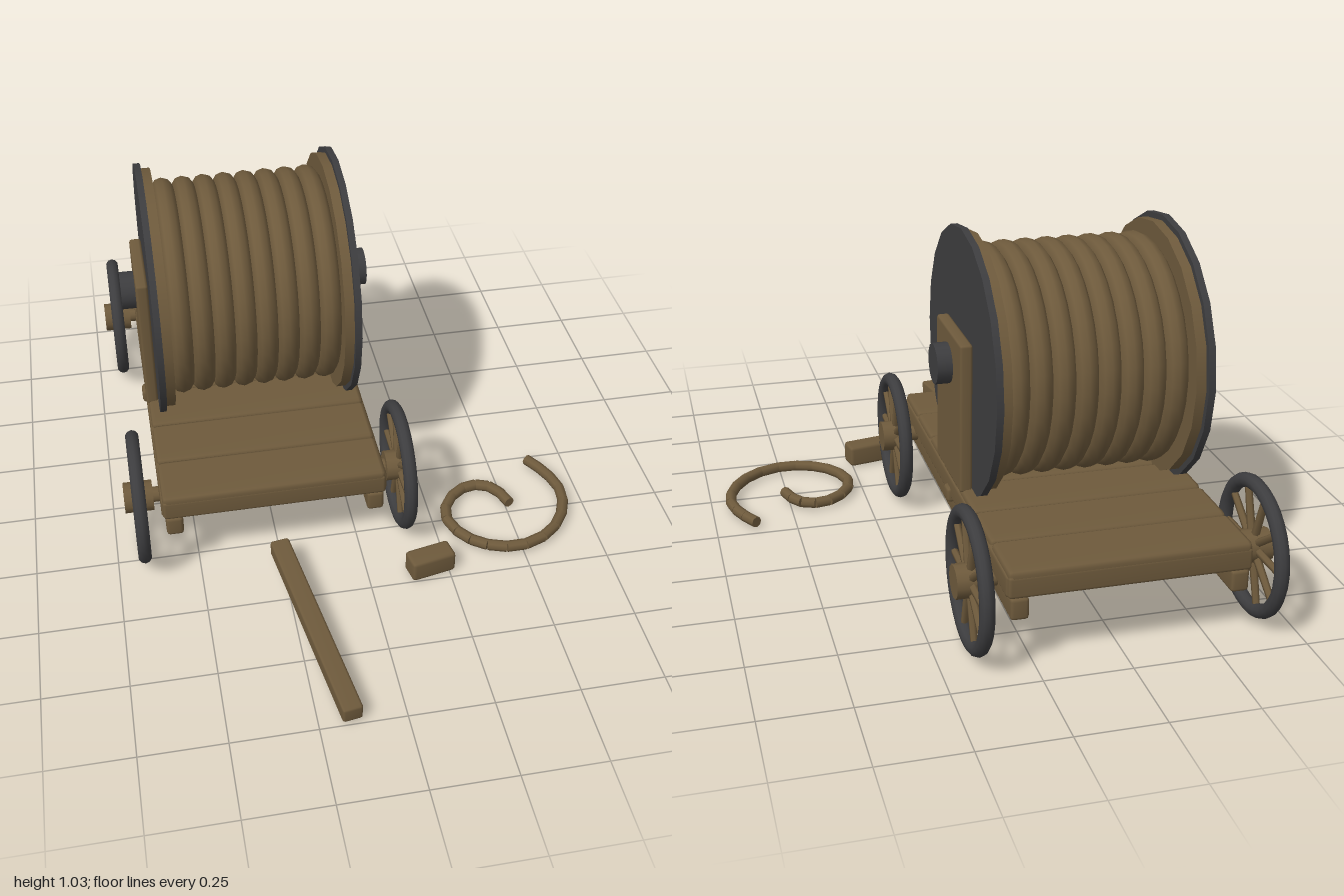
import * as THREE from 'three';
import { RoundedBoxGeometry } from 'three/addons/geometries/RoundedBoxGeometry.js';
import { mergeVertices } from 'three/addons/utils/BufferGeometryUtils.js';

const CX = -0.26; // centre line of the cart
const DRUM_Y = 0.642, DRUM_Z = -0.304;

export function createModel() {
  const root = new THREE.Group();
  root.name = 'ropeCart';
  const wood = new THREE.MeshStandardMaterial({ name: 'brown wood', color: 0x6e5a3c });
  const iron = new THREE.MeshStandardMaterial({ name: 'dark iron', color: 0x3d3d3f });

  function add(parent, name, geometry, material, x = 0, y = 0, z = 0) {
    const mesh = new THREE.Mesh(geometry, material);
    mesh.name = name;
    mesh.position.set(x, y, z);
    parent.add(mesh);
    return mesh;
  }
  // chamfered timber with smooth normals
  function beam(parent, name, w, h, d, x, y, z, r = 0.01) {
    const box = new RoundedBoxGeometry(w, h, d, 1, r);
    box.deleteAttribute('normal');
    box.deleteAttribute('uv');
    const smooth = mergeVertices(box);
    smooth.computeVertexNormals();
    return add(parent, name, smooth, wood, x, y, z);
  }
  // cylinder lying along x
  const rod = (parent, name, r, length, sides, material, x, y, z) =>
    add(parent, name, new THREE.CylinderGeometry(r, r, length, sides).rotateZ(Math.PI / 2), material, x, y, z);

  // deck: seven cross planks on a closed frame
  const deck = new THREE.Group();
  deck.name = 'deck';
  root.add(deck);
  for (let i = 0; i < 7; i++) {
    beam(deck, 'plank', 0.68, 0.05, 0.177, CX, 0.276, -0.85 + i * 0.18, 0.014);
  }
  beam(deck, 'floor', 0.64, 0.04, 1.22, CX, 0.25, -0.31);
  for (const s of [-1, 1]) {
    beam(deck, 'sideBeam', 0.055, 0.066, 1.24, CX + s * 0.317, 0.252, -0.31);
    beam(deck, 'lowerRail', 0.052, 0.065, 1.26, CX + s * 0.308, 0.188, -0.31);
    beam(deck, 'endBeam', 0.68, 0.066, 0.05, CX, 0.252, -0.31 + s * 0.605);
  }
  for (const z of [-0.62, 0]) beam(deck, 'batten', 0.6, 0.03, 0.03, CX, 0.222, z, 0.006);
  beam(deck, 'crossPeg', 0.71, 0.046, 0.05, CX, 0.228, DRUM_Z);

  // axle stubs and spoked wheels
  for (const z of [0.186, -0.794]) {
    for (const s of [-1, 1]) {
      rod(root, 'axleStub', 0.024, 0.1, 12, wood, CX + s * 0.35, 0.211, z);
      const wheel = new THREE.Group();
      wheel.name = 'wheel';
      wheel.position.set(CX + s * 0.407, 0.21, z);
      root.add(wheel);
      add(wheel, 'tyre', new THREE.TorusGeometry(0.184, 0.021, 10, 32).rotateY(Math.PI / 2), iron);
      rod(wheel, 'hub', 0.048, 0.088, 12, wood, 0, 0, 0);
      for (let i = 0; i < 10; i++) {
        const spoke = new THREE.CylinderGeometry(0.01, 0.012, 0.14, 6);
        spoke.translate(0, 0.108, 0).rotateX((i + 0.5) * Math.PI / 5);
        add(wheel, 'spoke', spoke, wood);
      }
    }
  }

  // drum with flanges, uprights and shaft
  const drum = new THREE.Group();
  drum.name = 'drum';
  drum.position.set(CX, DRUM_Y, DRUM_Z);
  root.add(drum);
  rod(drum, 'core', 0.3, 0.53, 24, wood, 0, 0, 0);
  rod(drum, 'shaft', 0.06, 0.78, 16, iron, 0, 0, 0);
  for (const s of [-1, 1]) {
    rod(drum, 'woodFlange', 0.378, 0.032, 20, wood, s * 0.276, 0, 0);
    rod(drum, 'ironFlange', 0.395, 0.02, 20, iron, s * 0.299, 0, 0);
    beam(drum, 'upright', 0.037, 0.45, 0.286, s * 0.3275, -0.125, 0, 0.008);
  }
  for (let i = 0; i < 8; i++) {
    const coil = new THREE.TorusGeometry(0.308, 0.034, 10, 32).rotateY(Math.PI / 2);
    add(drum, 'ropeCoil', coil, wood, (i - 3.5) * 0.065, 0, 0);
  }

  // loose pole on the ground
  const from = new THREE.Vector3(-0.256, 0.064, 0.325), to = new THREE.Vector3(-0.154, 0.037, 0.995);
  const pole = beam(root, 'loosePole', 0.06, 0.052, from.distanceTo(to), 0, 0, 0, 0.008);
  pole.position.copy(from).lerp(to, 0.5);
  pole.lookAt(to);

  // loose block
  beam(root, 'looseBlock', 0.144, 0.072, 0.07, 0.193, 0.04, 0.455, 0.012).rotation.y = 0.2;

  // curl of loose rope in short straight lengths
  const rope = new THREE.Group();
  rope.name = 'looseRope';
  root.add(rope);
  const path = [
    [0.51, 0.23], [0.476, 0.15], [0.41, 0.125], [0.335, 0.165], [0.292, 0.25], [0.322, 0.345], [0.39, 0.405],
    [0.487, 0.427], [0.59, 0.39], [0.66, 0.31], [0.69, 0.21], [0.67, 0.115], [0.625, 0.035],
  ].map(([x, z]) => new THREE.Vector3(x, 0.025, z));
  const points = new THREE.CatmullRomCurve3(path).getPoints(20);
  for (let i = 0; i < 20; i++) {
    const a = points[i], b = points[i + 1], length = a.distanceTo(b);
    const piece = new THREE.CylinderGeometry(0.0175, 0.0175, length, 8).rotateX(Math.PI / 2);
    const mesh = add(rope, 'ropePiece', piece, wood);
    mesh.position.copy(a).lerp(b, 0.5);
    mesh.lookAt(b);
  }
  return root;
}
